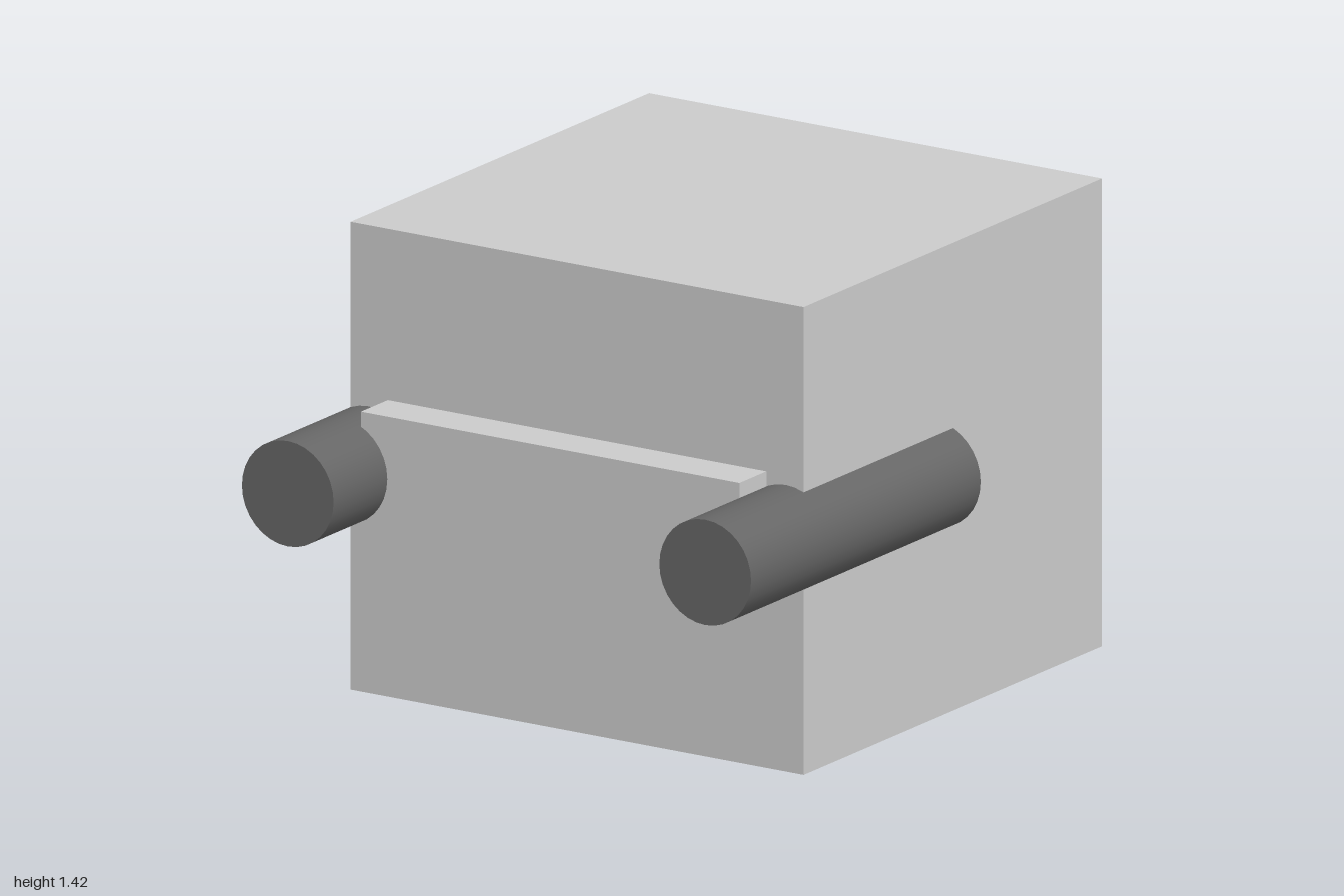
import * as THREE from 'three';

const grey = new THREE.MeshStandardMaterial({ color: 0xcccccc });
const dark = new THREE.MeshStandardMaterial({ color: 0x666666 });

// Box given by its lower and upper corners
function box(name, min, max) {
  const size = max.map((v, i) => v - min[i]);
  const mesh = new THREE.Mesh(new THREE.BoxGeometry(...size), grey);
  mesh.position.set(...max.map((v, i) => (v + min[i]) / 2));
  mesh.name = name;
  return mesh;
}

export function createModel() {
  const group = new THREE.Group();
  group.name = 'model';

  // Main block and the shallow plate on its front
  group.add(box('body', [-0.79, 0, -1], [0.79, 1.42, 0.575]));
  group.add(box('frontPlate', [-0.66, 0.52, 0.5], [0.66, 0.9, 0.717]));

  // Rods sunk halfway into the sides, reaching out past the front
  const back = -0.213, front = 1;
  const rod = new THREE.CylinderGeometry(0.16, 0.16, front - back, 32).rotateX(Math.PI / 2);
  for (const [name, side] of [['leftRod', 1], ['rightRod', -1]]) {
    const mesh = new THREE.Mesh(rod, dark);
    mesh.position.set(side * 0.728, 0.71, (front + back) / 2);
    mesh.name = name;
    group.add(mesh);
  }
  return group;
}
